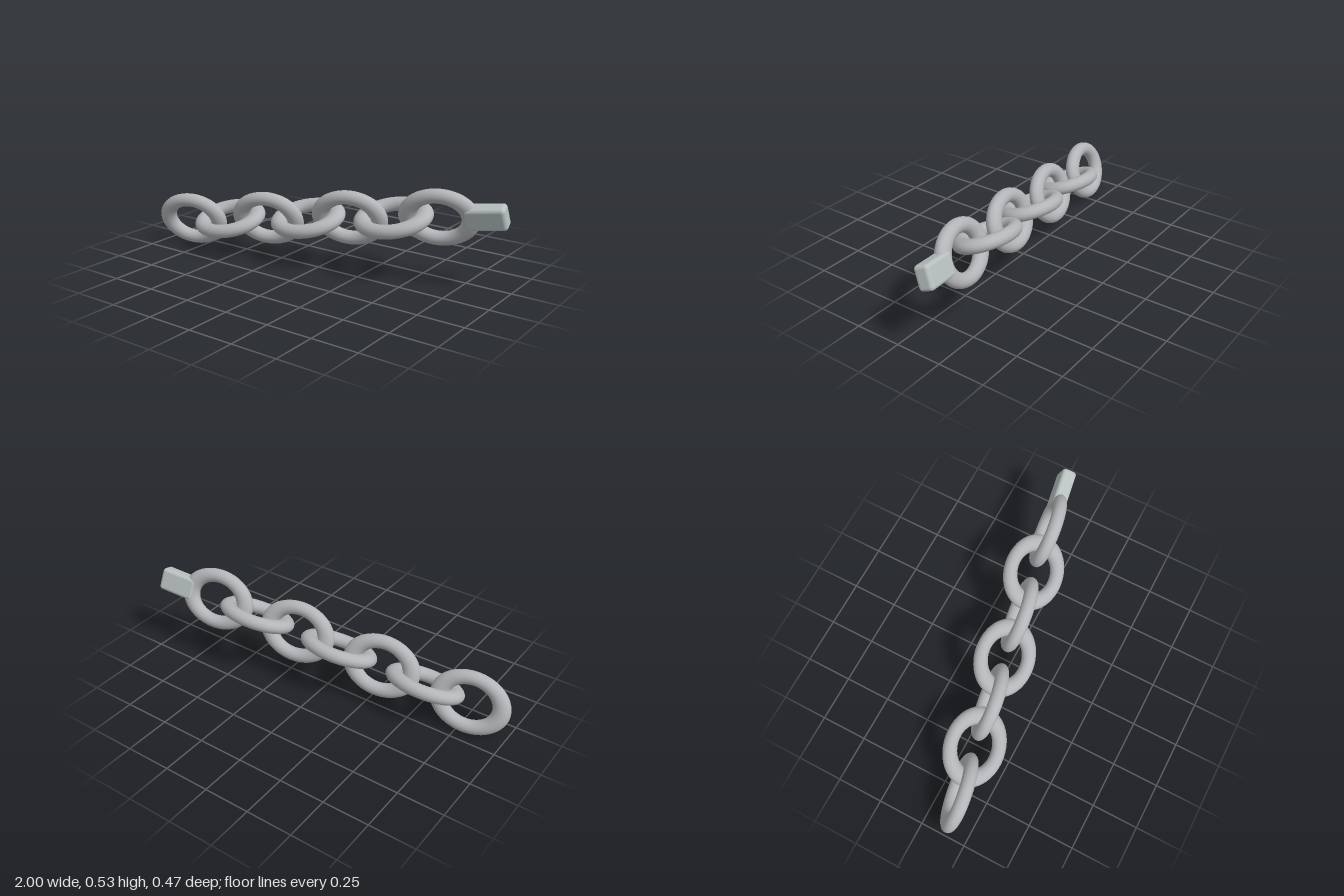
import * as THREE from 'three';
import { RoundedBoxGeometry } from 'three/addons/geometries/RoundedBoxGeometry.js';

const LINKS = 7;
const PITCH = 0.2457; // distance between neighbouring link centres
const STRETCH = 1.3; // links are rings stretched along the chain

export function createModel() {
  const linkMetal = new THREE.MeshStandardMaterial({ color: 0xb4b5b8 });
  linkMetal.name = 'link metal';
  const claspMetal = new THREE.MeshStandardMaterial({ color: 0xb8c0c0 });
  claspMetal.name = 'clasp metal';

  // The chain is built along local x, then slanted and rolled as a whole
  const chain = new THREE.Group();
  chain.name = 'chain';

  // Links: every second one is turned a quarter about the chain axis
  const ring = new THREE.TorusGeometry(0.127, 0.037, 20, 56);
  ring.scale(STRETCH, 1, 1);
  for (let i = 0; i < LINKS; i++) {
    const link = new THREE.Mesh(ring, linkMetal);
    link.name = `link${i + 1}`;
    link.position.x = (i - (LINKS - 1) / 2) * PITCH;
    link.rotation.x = i % 2 ? Math.PI / 2 : 0;
    chain.add(link);
  }

  // Clasp: rounded block gripping the end of the last link
  const clasp = new THREE.Mesh(new RoundedBoxGeometry(0.21, 0.125, 0.08, 4, 0.02), claspMetal);
  clasp.name = 'clasp';
  clasp.position.x = 0.98;
  chain.add(clasp);

  // Slant: along = chain direction, side = normal of the upright links
  const along = new THREE.Vector3(0.48, 0.07, -0.078).normalize();
  const side = new THREE.Vector3(0.2, -0.325, 0.92);
  side.addScaledVector(along, -side.dot(along)).normalize();
  const up = new THREE.Vector3().crossVectors(side, along);
  chain.quaternion.setFromRotationMatrix(new THREE.Matrix4().makeBasis(along, up, side));
  chain.position.set(-0.07, 0.266, 0);

  const model = new THREE.Group();
  model.name = 'chainWithClasp';
  model.add(chain);
  return model;
}
